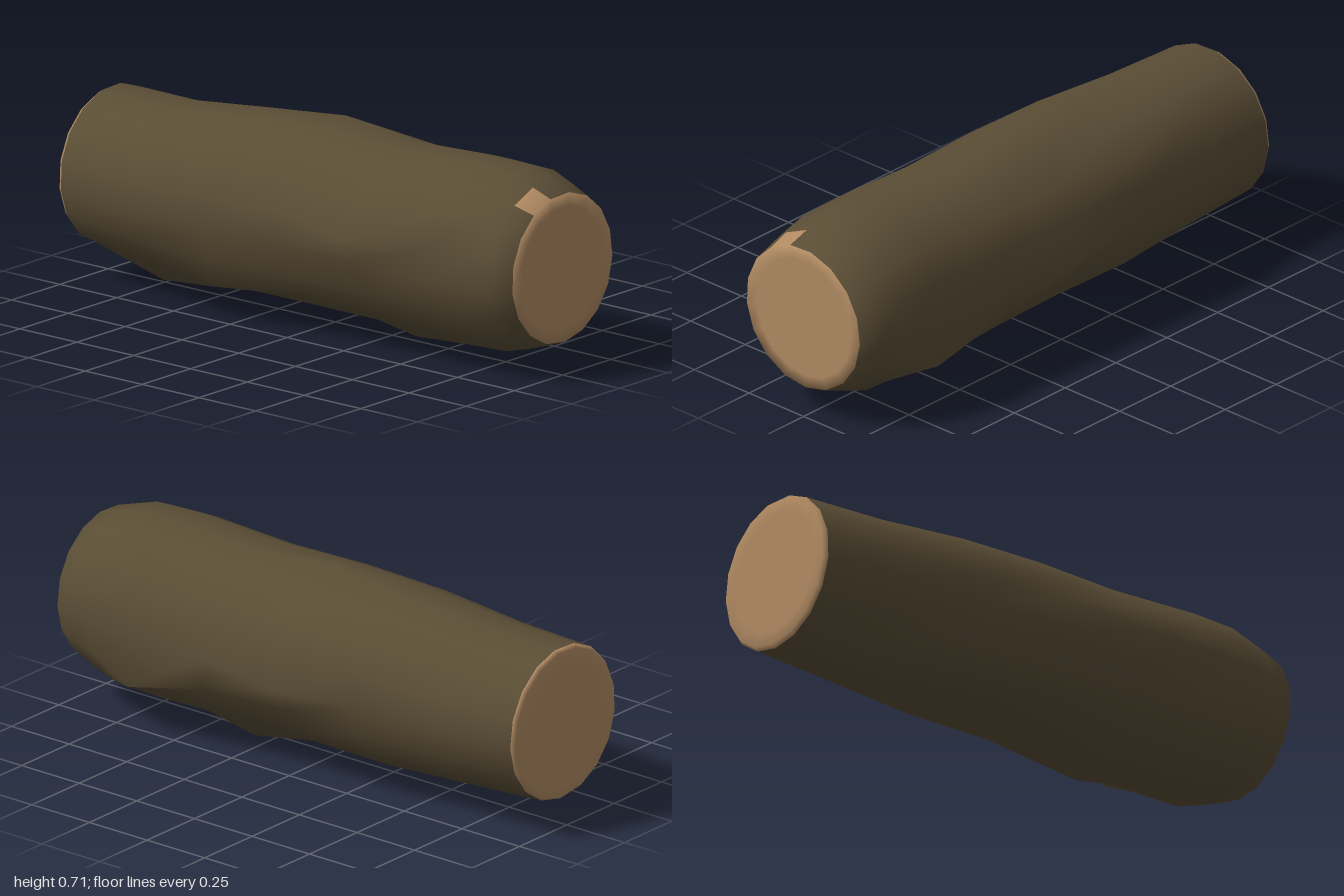
import * as THREE from 'three';

const SIDES = 17;

// Cross-sections from front to back: z, centre x, centre y, radius x, radius y
const RINGS = [
  [1, 0, 0.373, 0, 0],
  [1, 0, 0.373, 0.215, 0.215],
  [1, -0.002, 0.373, 0.26, 0.26],
  [0.92, 0.004, 0.372, 0.283, 0.288],
  [0.83, 0.008, 0.372, 0.302, 0.318],
  [0.66, 0.004, 0.372, 0.297, 0.325],
  [0.32, 0.008, 0.37, 0.305, 0.31],
  [0, 0.004, 0.375, 0.305, 0.313],
  [-0.33, 0.006, 0.37, 0.311, 0.309],
  [-0.68, -0.004, 0.36, 0.289, 0.285],
  [-0.985, 0.008, 0.371, 0.273, 0.273],
  [-1, 0.008, 0.371, 0.262, 0.262],
  [-1, 0.008, 0.371, 0.215, 0.215],
  [-1, 0.008, 0.371, 0, 0],
];

// Knots pushing single points out of a ring: z, x, y
const KNOTS = [
  [0.66, 0.3, 0.167],
  [0.32, -0.342, 0.417],
  [0.32, 0.043, 0],
  [0.32, 0.315, 0.25],
  [0, 0.34, 0.332],
  [0, 0.055, 0.708],
  [-0.33, 0.276, 0.575],
  [-0.33, -0.237, 0.113],
  [-0.68, -0.09, 0.04],
];

function ringPoints([z, cx, cy, rx, ry]) {
  const points = [];
  for (let k = 0; k < SIDES; k++) {
    const a = THREE.MathUtils.degToRad(82) - (k / SIDES) * Math.PI * 2;
    points.push(new THREE.Vector3(cx + rx * Math.cos(a), cy + ry * Math.sin(a), z));
  }
  for (const [kz, x, y] of KNOTS) {
    if (kz !== z) continue;
    const knot = new THREE.Vector3(x, y, z);
    points.reduce((m, p) => (p.distanceTo(knot) < m.distanceTo(knot) ? p : m)).copy(knot);
  }
  return points;
}

export function createModel() {
  const bark = new THREE.MeshStandardMaterial({ color: 0x5a4d35 });
  bark.name = 'bark';
  const wood = new THREE.MeshStandardMaterial({ color: 0xb08a62 });
  wood.name = 'cutWood';

  const barkFaces = [];
  const woodFaces = [];
  const last = RINGS.length - 2;
  for (let r = 0; r <= last; r++) {
    for (let k = 0; k < SIDES; k++) {
      const a = r * SIDES + k;
      const b = r * SIDES + ((k + 1) % SIDES);
      const c = a + SIDES;
      const d = b + SIDES;
      // Both cut ends, the back rim and a chip in the front bark show bare wood
      const chip = r === 2 && k === SIDES - 2;
      const isWood = r < 2 || r > last - 3 || chip;
      (isWood ? woodFaces : barkFaces).push(a, b, c, b, d, c);
    }
  }

  // One smooth skin, with material groups for bark and cut wood
  const geometry = new THREE.BufferGeometry().setFromPoints(RINGS.flatMap(ringPoints));
  geometry.setIndex([...barkFaces, ...woodFaces]);
  geometry.addGroup(0, barkFaces.length, 0);
  geometry.addGroup(barkFaces.length, woodFaces.length, 1);
  geometry.computeVertexNormals();

  const log = new THREE.Mesh(geometry, [bark, wood]);
  log.name = 'log';
  const group = new THREE.Group();
  group.name = 'woodLog';
  group.add(log);
  return group;
}
